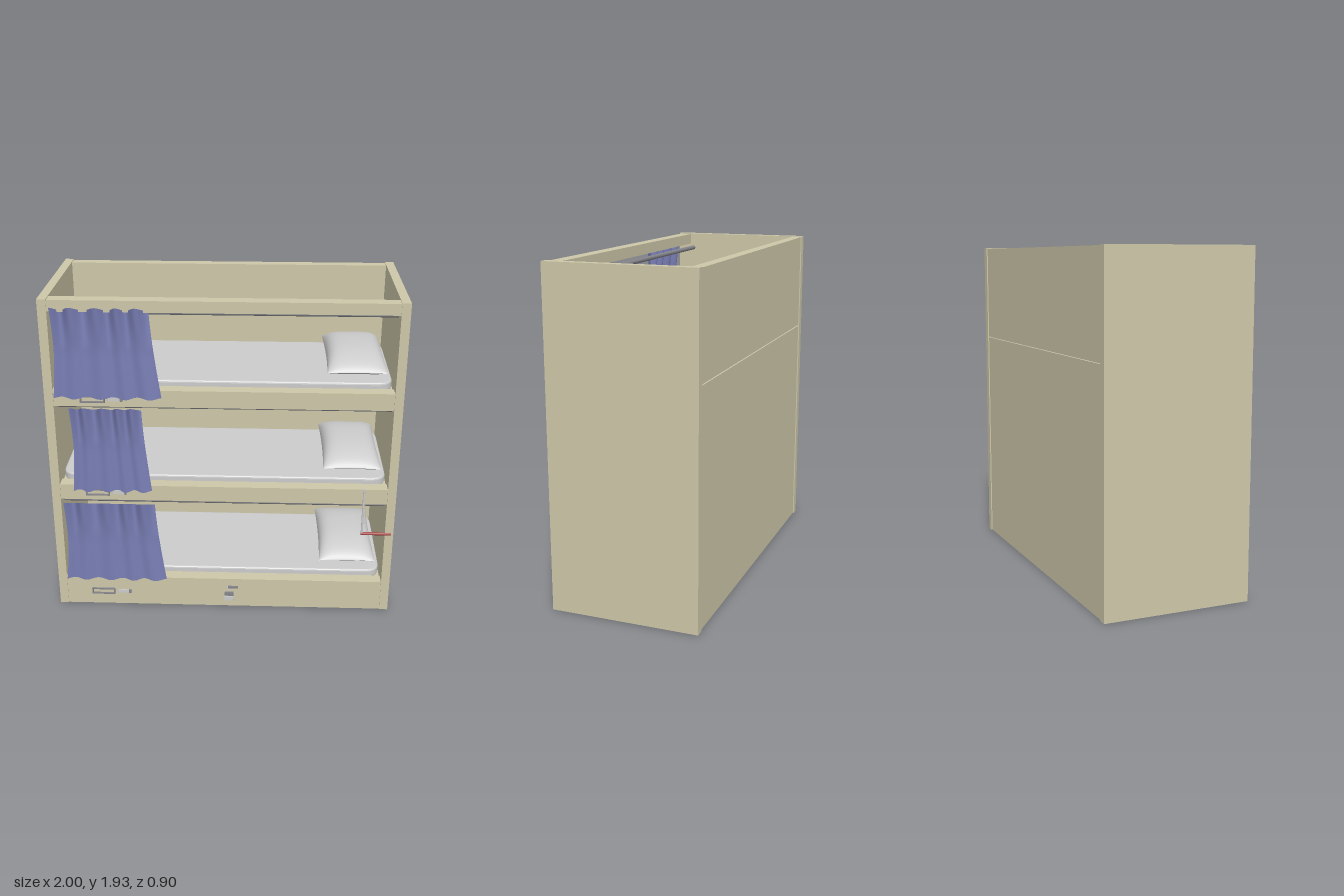
import * as THREE from 'three';
import { mergeGeometries } from 'three/addons/utils/BufferGeometryUtils.js';

const mat = (color, extra = {}) => new THREE.MeshStandardMaterial({ color, ...extra });
const wood = mat(0xcdc7a8);
const grey = mat(0xcccccc);
const metal = mat(0x85858c);
const cloth = mat(0x777cb2, { side: THREE.DoubleSide });
const red = mat(0xa84a48);

// Box given by its min and max along each axis
function box(parent, name, material, [x0, x1], [y0, y1], [z0, z1]) {
  const m = new THREE.Mesh(new THREE.BoxGeometry(x1 - x0, y1 - y0, z1 - z0), material);
  m.position.set((x0 + x1) / 2, (y0 + y1) / 2, (z0 + z1) / 2);
  m.name = name;
  parent.add(m);
  return m;
}

// Flat slab with rounded corners and a soft edge
function mattressGeometry() {
  const w = 0.935, d = 0.335, r = 0.08;
  const s = new THREE.Shape();
  s.moveTo(-w + r, -d);
  s.lineTo(w - r, -d);
  s.quadraticCurveTo(w, -d, w, -d + r);
  s.lineTo(w, d - r);
  s.quadraticCurveTo(w, d, w - r, d);
  s.lineTo(-w + r, d);
  s.quadraticCurveTo(-w, d, -w, d - r);
  s.lineTo(-w, -d + r);
  s.quadraticCurveTo(-w, -d, -w + r, -d);
  const g = new THREE.ExtrudeGeometry(s, {
    depth: 0.03, bevelThickness: 0.012, bevelSize: 0.012, bevelSegments: 3, curveSegments: 6,
  });
  return g.rotateX(-Math.PI / 2).translate(0, 0.012, 0);
}

// Cushion: two bulged sheets meeting along a thin seam
function pillowGeometry() {
  const half = (dir, height) => {
    const g = new THREE.PlaneGeometry(2, 2, 20, 24).rotateX(-dir * Math.PI / 2);
    const p = g.attributes.position;
    for (let i = 0; i < p.count; i++) {
      // crowd the rows towards the seam so the edge is round
      const u = Math.sin(p.getX(i) * Math.PI / 2), v = Math.sin(p.getZ(i) * Math.PI / 2);
      const bulge = Math.sqrt(Math.max(0, 1 - u ** 4)) * Math.max(0, 1 - Math.abs(v) ** 2.6) ** 0.7;
      const pinch = 1 - 0.05 * (1 - v * v) * u * u;
      p.setXYZ(i, u * 0.17 * pinch, dir * height * bulge, v * 0.325 * (1 - 0.03 * (1 - u * u)));
    }
    g.computeVertexNormals();
    return g;
  };
  return mergeGeometries([half(1, 0.09), half(-1, 0.05)]);
}

// Hanging cloth, gathered at the top and flaring at the hem
function curtainGeometry(topL, topR, hemL, hemR, yTop, yHem) {
  const g = new THREE.PlaneGeometry(1, 1, 60, 20);
  const p = g.attributes.position;
  for (let i = 0; i < p.count; i++) {
    const u = p.getX(i) + 0.5, t = 0.5 - p.getY(i);
    const e = t ** 1.3;
    const left = THREE.MathUtils.lerp(topL, hemL, e) + 0.012 * Math.sin(t * Math.PI);
    const right = THREE.MathUtils.lerp(topR, hemR, e);
    const wave = Math.cos(u * Math.PI * 2 * 4.5 + 0.6 * Math.sin(u * 9));
    const amp = 0.007 + 0.02 * Math.max(0, 1 - t * 2.4);
    const scallop = 0.015 * (wave - 1) * (1 - t) + 0.006 * Math.sin(u * 26) * t;
    const z = 0.414 + amp * wave + 0.012 * Math.max(0, t * 2 - 1);
    p.setXYZ(i, left + (right - left) * u, yTop + (yHem - yTop) * t + scallop, z);
  }
  g.computeVertexNormals();
  return g;
}

// Round bar between two points
function bar(parent, name, material, a, b, radius) {
  const path = new THREE.LineCurve3(new THREE.Vector3(...a), new THREE.Vector3(...b));
  const len = path.getLength();
  const m = new THREE.Mesh(new THREE.CylinderGeometry(radius, radius, len, 12), material);
  m.position.copy(path.getPoint(0.5));
  m.quaternion.setFromUnitVectors(new THREE.Vector3(0, 1, 0), path.getTangent(0));
  m.name = name;
  parent.add(m);
}

// Card holder: a thin open frame and a small latch plate beside it
function cardHolder(parent, y) {
  const g = new THREE.Group();
  g.name = 'cardHolder';
  const z = [0.4, 0.409];
  for (const s of [-1, 1]) {
    box(g, 'holderRail', metal, [-0.8, -0.66], [y + s * 0.016 - 0.004, y + s * 0.016 + 0.004], z);
    box(g, 'holderEnd', metal, [-0.73 + s * 0.066 - 0.004, -0.73 + s * 0.066 + 0.004], [y - 0.012, y + 0.012], z);
  }
  box(g, 'latchPlate', grey, [-0.64, -0.565], [y - 0.01, y + 0.01], [0.4, 0.406]);
  box(g, 'latchPin', metal, [-0.575, -0.562], [y - 0.012, y + 0.012], z);
  parent.add(g);
}

export function createModel() {
  const root = new THREE.Group();
  root.name = 'tripleBunk';

  // Cabinet: sides, two-piece back, top front rail
  for (const s of [-1, 1]) {
    box(root, 'sidePanel', wood, [s * 0.975 - 0.025, s * 0.975 + 0.025], [0, 1.93], [-0.455, 0.405]);
  }
  box(root, 'lowerBackPanel', wood, [-0.95, 0.95], [0, 1.337], [-0.448, -0.385]);
  box(root, 'upperBackPanel', wood, [-0.95, 0.95], [1.343, 1.925], [-0.448, -0.385]);
  box(root, 'backSeam', wood, [-0.95, 0.95], [1.33, 1.35], [-0.435, -0.39]);
  box(root, 'topRail', wood, [-0.95, 0.95], [1.86, 1.925], [0.325, 0.4]);

  // Three berths from bottom to top
  const mattress = mattressGeometry(), pillow = pillowGeometry();
  const berths = [
    { rail: [0, 0.19], rod: 0.675, holder: 0.09, curtain: [-0.93, -0.4, -0.94, -0.34, 0.715, 0.19] },
    { rail: [0.72, 0.815], rod: 1.28, holder: 0.77, curtain: [-0.86, -0.46, -0.865, -0.41, 1.315, 0.79] },
    { rail: [1.31, 1.41], rod: 1.835, holder: 1.355, curtain: [-0.93, -0.4, -0.94, -0.34, 1.895, 1.37] },
  ];
  for (const b of berths) {
    const berth = new THREE.Group();
    berth.name = 'berth';
    const top = b.rail[1];
    box(berth, 'frontRail', wood, [-0.95, 0.95], b.rail, [0.325, 0.4]);
    box(berth, 'bedBoard', wood, [-0.95, 0.95], [top - 0.05, top - 0.022], [-0.386, 0.326]);

    const bed = new THREE.Mesh(mattress, grey);
    bed.name = 'mattress';
    bed.position.set(0, top - 0.023, -0.03);
    const cushion = new THREE.Mesh(pillow, grey);
    cushion.name = 'pillow';
    cushion.position.set(0.75, top + 0.077, -0.035);
    const curtain = new THREE.Mesh(curtainGeometry(...b.curtain), cloth);
    curtain.name = 'curtain';
    berth.add(bed, cushion, curtain);

    bar(berth, 'curtainRod', metal, [-0.955, b.rod, 0.305], [0.955, b.rod, 0.305], 0.014);
    cardHolder(berth, b.holder);
    root.add(berth);
  }

  // Folding step with a coloured tread
  bar(root, 'stepHanger', grey, [0.815, 0.82, 0.403], [0.815, 0.53, 0.403], 0.006);
  bar(root, 'stepTread', red, [0.81, 0.527, 0.403], [0.985, 0.527, 0.403], 0.009);

  // Lock on the bottom rail
  const lock = new THREE.Group();
  lock.name = 'lock';
  box(lock, 'lockHasp', metal, [0.03, 0.09], [0.128, 0.142], [0.4, 0.408]);
  box(lock, 'lockArm', grey, [0.028, 0.04], [0.113, 0.14], [0.4, 0.407]);
  box(lock, 'lockBody', metal, [0.01, 0.062], [0.076, 0.1], [0.4, 0.41]);
  box(lock, 'lockPlate', grey, [0.005, 0.062], [0.04, 0.068], [0.4, 0.407]);
  root.add(lock);

  return root;
}
